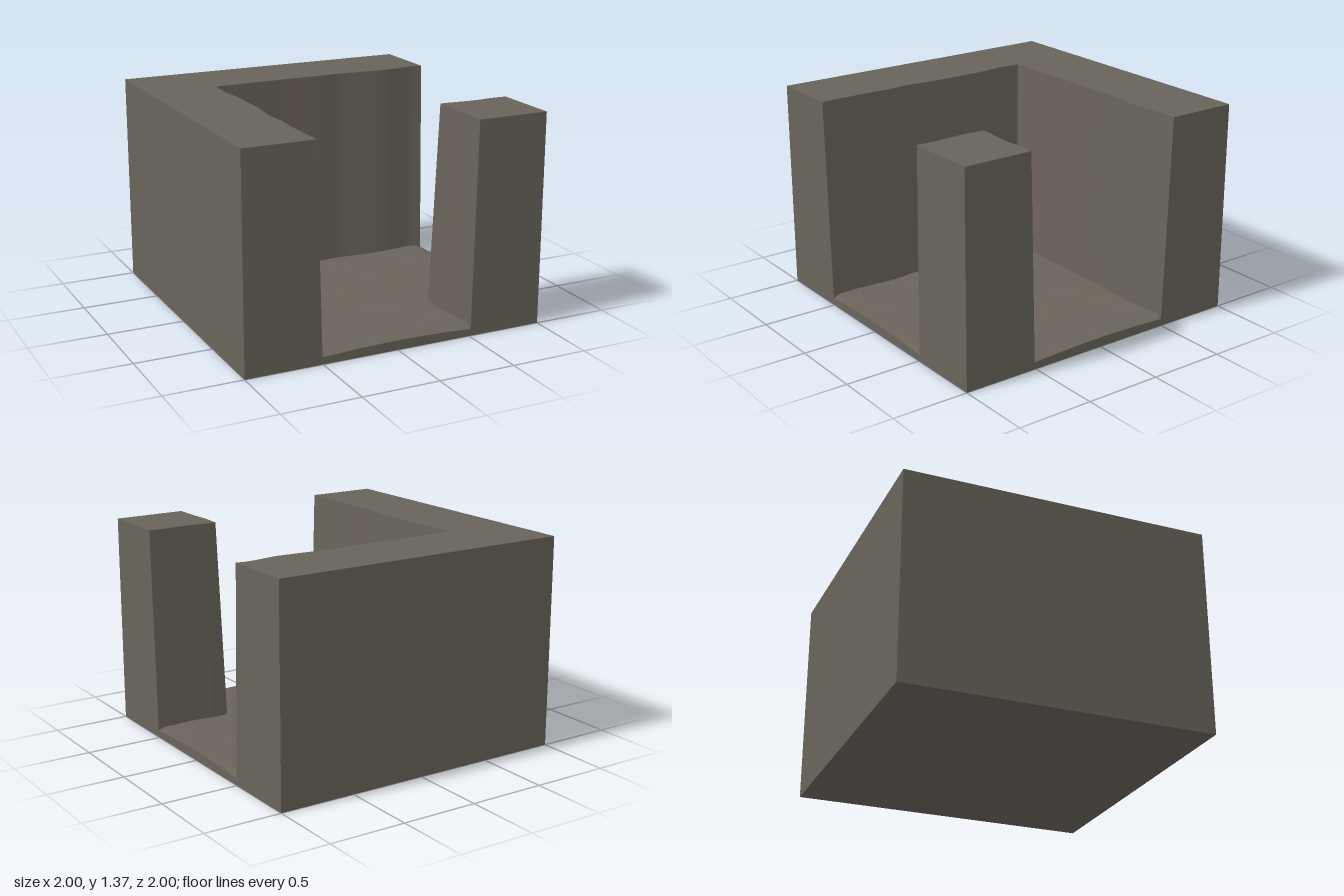
import * as THREE from 'three';
import { toCreasedNormals } from 'three/addons/utils/BufferGeometryUtils.js';

const HEIGHT = 1.37, BASE = 0.045, LEAN = 0.036;

// Collects quads and triangles, one material index each, into a geometry
function builder() {
  const pos = [], groups = [];
  const tri = (m, ...pts) => {
    const last = groups[groups.length - 1];
    if (last && last.m === m) last.count += 3;
    else groups.push({ start: pos.length / 3, count: 3, m });
    pts.forEach(p => pos.push(...p));
  };
  const quad = (m, a, b, c, d) => { tri(m, a, b, c); tri(m, a, c, d); };
  const build = () => {
    const g = new THREE.BufferGeometry();
    g.setAttribute('position', new THREE.Float32BufferAttribute(pos, 3));
    groups.forEach(s => g.addGroup(s.start, s.count, s.m));
    return toCreasedNormals(g, 0.5);
  };
  return { tri, quad, build };
}

// Smooth wavy edge through [x, z] points; each sample also carries its lean at the foot
function wavy(points, n, dx, dz) {
  const curve = new THREE.SplineCurve(points.map(p => new THREE.Vector2(...p)));
  return curve.getPoints(n).map(p => [p.x, p.y, dx, dz]);
}

// Block with a given top outline whose leaning sides reach a shifted foot outline
function leaningBlock(outline) {
  const b = builder();
  const top = outline.map(([x, z]) => [x, HEIGHT, z]);
  const foot = outline.map(([x, z, dx = 0, dz = 0]) => [x + dx, BASE, z + dz]);
  for (let i = 0; i < outline.length; i++) {
    const j = (i + 1) % outline.length;
    const x = (top[i][0] + top[j][0]) / 2, inner = outline[i].length > 2 && outline[j].length > 2;
    const warm = inner && top[i][2] < -0.5 && x > -0.45 && x < 0.35 && Math.sin(x * 14 + 1) > -0.5;
    b.quad(warm ? 1 : 0, foot[i], foot[j], top[j], top[i]);
  }
  const flat = top.map(p => new THREE.Vector2(p[0], -p[2]));
  THREE.ShapeUtils.triangulateShape(flat, []).forEach(t => b.tri(0, ...t.map(k => top[k])));
  return b.build();
}

// Uneven floor, dipping at the open edges, with patches of warmer stone
function floorGeometry() {
  const b = builder(), n = 26, start = -0.53, line = [];
  for (let i = 0; i <= n; i++) line.push(start + (0.96 - start) * i / n);
  line.push(1, 1);
  const last = line.length - 1;
  const point = (i, j) => {
    const x = line[i], z = line[j];
    let y = 0.064 + 0.004 * Math.sin(x * 9 + z * 4) * Math.sin(z * 11 - x * 3);
    if (i >= last - 1) y = 0.062 - 0.016 * Math.pow(Math.abs(z) / 0.5, 2);
    if (j >= last - 1) y = 0.062 - 0.016 * Math.pow(Math.abs(x) / 0.5, 2);
    if (i === last || j === last) y = BASE;
    return [x, Math.max(y, BASE), z];
  };
  for (let j = 0; j < last; j++) for (let i = 0; i < last; i++) {
    const x = line[i], z = line[j];
    if (x > 0.52 && z > 0.52) continue;
    const tint = Math.sin(x * 6 + 1.3 * Math.sin(z * 5)) + Math.sin(z * 17 + x * 3);
    b.quad(tint > 0.5 ? 1 : 0, point(i, j), point(i, j + 1), point(i + 1, j + 1), point(i + 1, j));
  }
  return b.build();
}

export function createModel() {
  const model = new THREE.Group();
  model.name = 'corridorCorner';
  const stone = new THREE.MeshStandardMaterial({ name: 'stone', color: 0x69635a });
  const warmStone = new THREE.MeshStandardMaterial({ name: 'warmStone', color: 0x6c625a });
  const add = (name, geometry, material) => {
    const mesh = new THREE.Mesh(geometry, material);
    mesh.name = name;
    model.add(mesh);
  };

  // Base slab
  const slab = new THREE.BoxGeometry(2, BASE, 2);
  slab.translate(0, BASE / 2, 0);
  add('baseSlab', slab, stone);

  add('floor', floorGeometry(), [stone, warmStone]);

  // L-shaped outer wall, with a narrow chamfer in its inner corner
  const leftEdge = wavy([[-0.54, 1], [-0.545, 0.7], [-0.537, 0.52], [-0.55, 0.35], [-0.532, 0.18],
    [-0.53, 0], [-0.531, -0.2], [-0.547, -0.35], [-0.54, -0.495]], 32, LEAN, 0);
  const backEdge = wavy([[-0.505, -0.527], [-0.2, -0.533], [0, -0.538], [0.2, -0.535], [0.37, -0.545],
    [0.5, -0.532], [0.65, -0.52], [0.75, -0.521], [0.9, -0.544], [1, -0.535]], 32, 0, LEAN);
  add('outerWall', leaningBlock([
    [-1, 1], ...leftEdge, [-0.537, -0.522, LEAN, 0.025], ...backEdge, [1, -1], [-1, -1],
  ]), [stone, warmStone]);

  // Corner pillar
  const pillarBack = wavy([[1, 0.545], [0.9, 0.54], [0.75, 0.55], [0.6, 0.537]], 14, 0, -LEAN);
  const pillarSide = wavy([[0.527, 0.6], [0.523, 0.68], [0.532, 0.85], [0.53, 1]], 14, -0.036, 0);
  pillarSide.forEach(p => { p[2] += 0.015 * Math.max(0, p[1] - 0.7) / 0.3; });
  add('cornerPillar', leaningBlock([
    [1, 1], ...pillarBack, [0.53, 0.535, -0.038, -LEAN], ...pillarSide,
  ]), [stone, warmStone]);

  return model;
}
